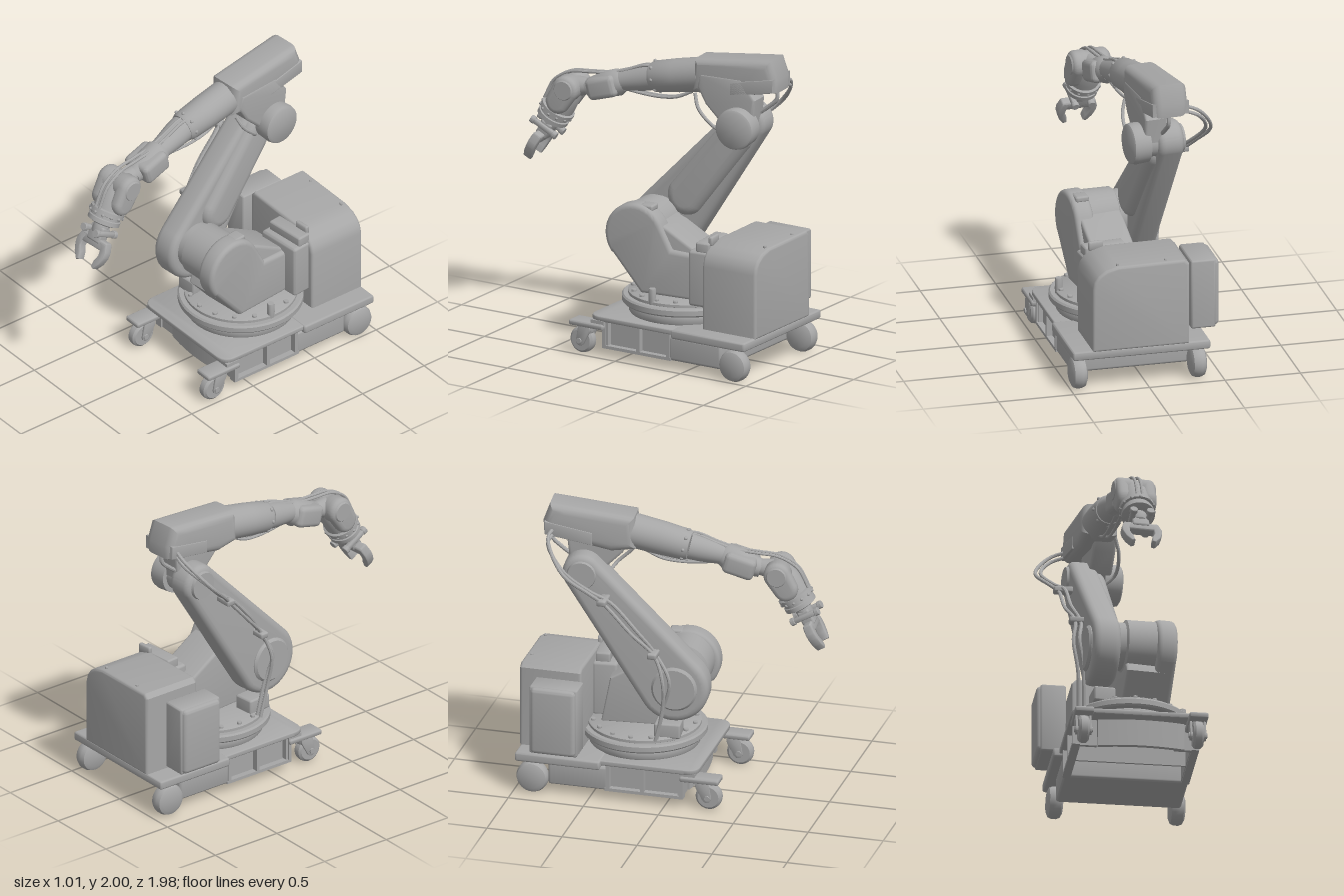
import * as THREE from 'three';
import { toCreasedNormals } from 'three/addons/utils/BufferGeometryUtils.js';
import { RoundedBoxGeometry } from 'three/addons/geometries/RoundedBoxGeometry.js';

const grey = new THREE.MeshStandardMaterial({ color: 0xa6a6a6 });
grey.name = 'machine grey';

const v3 = (x, y, z) => new THREE.Vector3(x, y, z);

function add(parent, name, geo) {
  const mesh = new THREE.Mesh(toCreasedNormals(geo, 0.6), grey);
  mesh.name = name;
  parent.add(mesh);
  return mesh;
}

// Box given by its limits on each axis; r rounds the edges
function box(parent, name, [x0, x1], [y0, y1], [z0, z1], r = 0) {
  const size = [x1 - x0, y1 - y0, z1 - z0];
  const geo = r ? new RoundedBoxGeometry(...size, 3, r) : new THREE.BoxGeometry(...size);
  geo.translate((x0 + x1) / 2, (y0 + y1) / 2, (z0 + z1) / 2);
  return add(parent, name, geo);
}

function extrude(shape, depth, bevel) {
  return new THREE.ExtrudeGeometry(shape, {
    depth: depth - 2 * bevel, bevelEnabled: bevel > 0, bevelThickness: bevel,
    bevelSize: bevel, bevelOffset: -bevel, bevelSegments: 4, curveSegments: 20,
  }).translate(0, 0, bevel);
}

const polygon = pts => new THREE.Shape(pts.map(p => new THREE.Vector2(...p)));

// Side profile in (z, y), extruded across x0..x1
function slab(parent, name, shape, x0, x1, bevel = 0.015) {
  return add(parent, name, extrude(shape, x1 - x0, bevel).rotateY(-Math.PI / 2).translate(x1, 0, 0));
}

// Plan outline in (x, -z), extruded up from y0 to y1
function plate(parent, name, shape, y0, y1, bevel = 0) {
  return add(parent, name, extrude(shape, y1 - y0, bevel).rotateX(-Math.PI / 2).translate(0, y0, 0));
}

// Outline wrapped round two circles, in (z, y)
function capsule(z1, y1, r1, z2, y2, r2) {
  const a = Math.atan2(y2 - y1, z2 - z1);
  const k = Math.acos((r1 - r2) / Math.hypot(z2 - z1, y2 - y1));
  const s = new THREE.Shape();
  s.absarc(z1, y1, r1, a + k, a - k + Math.PI * 2, false);
  s.absarc(z2, y2, r2, a - k, a + k, false);
  return s;
}

// Turned part between two points; profile is [fraction of length, radius]
function turned(parent, name, from, to, profile, seg = 32) {
  const a = v3(...from), dir = v3(...to).sub(a), len = dir.length();
  const pts = profile.map(([t, r]) => new THREE.Vector2(r, t * len));
  pts.unshift(new THREE.Vector2(0, pts[0].y));
  pts.push(new THREE.Vector2(0, pts[pts.length - 1].y));
  const mesh = add(parent, name, new THREE.LatheGeometry(pts, seg));
  mesh.quaternion.setFromUnitVectors(v3(0, 1, 0), dir.normalize());
  mesh.position.copy(a);
  return mesh;
}

const rim = (r, b = 0.12) => [[0, r * 0.9], [b, r], [1 - b, r], [1, r * 0.9]];

function cable(parent, name, pts, r = 0.012) {
  const curve = new THREE.CatmullRomCurve3(pts.map(p => v3(...p)));
  return add(parent, name, new THREE.TubeGeometry(curve, 48, r, 8));
}

function buildCart(root) {
  const cart = new THREE.Group();
  cart.name = 'cart';
  root.add(cart);

  // Front deck with rounded corners, and a gently bowed front wall
  const deck = new THREE.Shape();
  deck.moveTo(-0.37, 0.5);
  deck.lineTo(-0.37, -0.13);
  deck.quadraticCurveTo(-0.37, -0.22, -0.28, -0.22);
  deck.lineTo(0.39, -0.22);
  deck.quadraticCurveTo(0.48, -0.22, 0.48, -0.13);
  deck.lineTo(0.48, 0.5);
  plate(cart, 'frontDeck', deck, 0.24, 0.275, 0.008);
  const wall = new THREE.Shape();
  wall.moveTo(-0.19, -0.09);
  wall.lineTo(-0.19, -0.12);
  wall.quadraticCurveTo(0.09, -0.18, 0.37, -0.12);
  wall.lineTo(0.37, -0.09);
  wall.quadraticCurveTo(0.09, -0.15, -0.19, -0.09);
  plate(cart, 'frontWall', wall, 0.06, 0.245);
  box(cart, 'rearDeck', [-0.41, 0.5], [0.22, 0.28], [-0.985, -0.42], 0.015);
  box(cart, 'middleTank', [-0.35, 0.46], [0.06, 0.225], [-0.78, -0.38], 0.02);
  box(cart, 'bayDivider', [-0.33, 0.42], [0.07, 0.245], [-0.16, -0.145]);

  // Open side bays framed by rails and posts
  for (const s of [-1, 1]) {
    const at = (a, b) => [0.055 + s * a, 0.055 + s * b].sort((p, q) => p - q);
    box(cart, 'bayWall', at(0.355, 0.37), [0.07, 0.245], [-0.4, 0.08]);
    box(cart, 'lowerRail', at(0.36, 0.41), [0.06, 0.08], [-0.4, 0.12]);
    box(cart, 'cornerPanel', at(0.25, 0.4), [0.06, 0.245], [0.085, 0.11]);
    for (const z of [-0.38, -0.15, 0.11]) box(cart, 'post', at(0.36, 0.41), [0.06, 0.245], [z - 0.012, z + 0.012]);

    // Front caster with fork
    const x = 0.065 + s * 0.37;
    box(cart, 'casterPlate', [x - 0.062, x + 0.062], [0.185, 0.222], [0.1, 0.36], 0.012);
    box(cart, 'casterMount', [x - 0.05, x + 0.05], [0.215, 0.245], [0.1, 0.2]);
    turned(cart, 'casterSwivel', [x, 0.14, 0.25], [x, 0.2, 0.25], rim(0.045));
    for (const f of [-1, 1]) {
      slab(cart, 'casterFork', capsule(0.28, 0.085, 0.03, 0.25, 0.17, 0.045), x + f * 0.045 - 0.007, x + f * 0.045 + 0.007, 0.002);
    }
    turned(cart, 'casterWheel', [x - 0.034, 0.088, 0.285], [x + 0.034, 0.088, 0.285], [[0, 0.07], [0.2, 0.085], [0.5, 0.088], [0.8, 0.085], [1, 0.07]]);
    turned(cart, 'casterAxle', [x - 0.06, 0.088, 0.285], [x + 0.06, 0.088, 0.285], rim(0.02), 12);

    const rx = 0.05 + s * 0.395;
    turned(cart, 'rearWheel', [rx - 0.05, 0.105, -0.88], [rx + 0.05, 0.105, -0.88], [[0, 0.07], [0.12, 0.095], [0.35, 0.105], [0.65, 0.105], [0.88, 0.095], [1, 0.07]]);
  }

  // Control cabinet with a softened outer shoulder
  const cabinet = polygon([[-0.27, 0.27], [0.37, 0.27], [0.37, 0.7], [0.358, 0.75], [0.33, 0.79], [0.28, 0.825], [0.2, 0.845], [-0.24, 0.85], [-0.27, 0.82]]);
  add(cart, 'cabinet', extrude(cabinet, 0.41, 0.02).translate(0, 0, -0.99));
  for (const x of [-0.12, 0.2]) turned(cart, 'cabinetBolt', [x, 0.84, -0.95], [x, 0.858, -0.95], rim(0.01), 10);

  // Side unit with a bulging cover, held off the cabinet by a bracket
  box(cart, 'sideUnit', [-0.475, -0.31], [0.32, 0.788], [-0.87, -0.55], 0.015);
  box(cart, 'sideUnitCover', [-0.5, -0.42], [0.325, 0.783], [-0.86, -0.56], 0.03);
  box(cart, 'sideUnitBracket', [-0.33, -0.26], [0.34, 0.5], [-0.82, -0.6]);

  // Turntable
  const c = [0.055, -0.245];
  const ring = (name, y0, y1, r) => turned(cart, name, [c[0], y0, c[1]], [c[0], y1, c[1]], [[0, r - 0.01], [0.2, r], [0.8, r], [1, r - 0.01]], 64);
  ring('turntableBase', 0.27, 0.345, 0.36);
  ring('turntableFlange', 0.34, 0.395, 0.405);
  ring('turntablePlate', 0.39, 0.42, 0.365);
  for (let i = 0; i < 16; i++) {
    const a = (i / 16) * Math.PI * 2;
    const x = c[0] + 0.335 * Math.cos(a), z = c[1] + 0.335 * Math.sin(a);
    turned(cart, 'turntableBolt', [x, 0.415, z], [x, 0.435, z], rim(0.016), 12);
  }
  turned(cart, 'stopPost', [0.4, 0.39, -0.22], [0.4, 0.5, -0.22], rim(0.024), 16);
}

function buildTurret(arm) {
  turned(arm, 'shoulderDrum', [0.02, 0.81, 0.03], [0.29, 0.81, 0.03], [[0, 0.155], [0.2, 0.155], [0.24, 0.175], [0.95, 0.18], [1, 0.18]], 48);
  const cheek = new THREE.Shape();
  cheek.moveTo(-0.02, 0.41);
  cheek.lineTo(0.19, 0.66);
  cheek.absarc(0.03, 0.79, 0.212, -0.68, 2.75, false);
  cheek.lineTo(-0.24, 0.73);
  cheek.lineTo(-0.44, 0.72);
  cheek.lineTo(-0.44, 0.41);
  slab(arm, 'shoulderCheek', cheek, 0.27, 0.4, 0.03);
  slab(arm, 'turretBody', polygon([[-0.02, 0.41], [0.14, 0.6], [0.1, 0.7], [-0.1, 0.9], [-0.2, 0.86], [-0.44, 0.72], [-0.5, 0.41]]), 0.08, 0.37, 0.02);
  box(arm, 'rearHousing', [0.18, 0.49], [0.41, 0.78], [-0.575, -0.41], 0.02);
  box(arm, 'connectorBox', [0.2, 0.48], [0.77, 0.84], [-0.555, -0.46], 0.012);
  box(arm, 'connectorHandle', [0.36, 0.46], [0.82, 0.88], [-0.57, -0.54], 0.01);
  box(arm, 'cableJunction', [-0.11, 0.03], [0.41, 0.51], [-0.12, 0.05], 0.012);
  box(arm, 'liftingLug', [0.28, 0.37], [0.96, 1.0], [-0.09, 0.0], 0.012);
}

function buildUpperArm(arm) {
  slab(arm, 'upperArm', capsule(0.01, 0.775, 0.23, -0.585, 1.53, 0.13), -0.15, 0.03, 0.045);
  slab(arm, 'upperArmCasing', capsule(-0.16, 0.99, 0.13, -0.52, 1.447, 0.12), -0.13, 0.08, 0.06);
  turned(arm, 'shoulderCap', [-0.17, 0.78, 0.02], [-0.12, 0.78, 0.02], rim(0.15, 0.3));
  turned(arm, 'elbowHub', [-0.165, 1.53, -0.585], [0.1, 1.53, -0.585], rim(0.1, 0.1));
  turned(arm, 'elbowMotor', [0.08, 1.53, -0.585], [0.2, 1.53, -0.585], [[0, 0.13], [0.7, 0.136], [0.92, 0.13], [1, 0.115]], 48);
  box(arm, 'armBracket', [-0.06, 0.02], [0.96, 1.0], [-0.12, -0.04], 0.012);
}

function buildForearm(arm) {
  slab(arm, 'elbowFairing', polygon([[-0.28, 1.76], [-0.34, 1.65], [-0.45, 1.54], [-0.56, 1.46], [-0.68, 1.54], [-0.7, 1.72], [-0.6, 1.85], [-0.3, 1.85]]), -0.03, 0.12, 0.02);
  slab(arm, 'forearmHousing', polygon([[-0.8, 1.995], [-0.7, 1.985], [-0.25, 1.935], [-0.235, 1.715], [-0.4, 1.69], [-0.62, 1.735], [-0.84, 1.78], [-0.845, 1.87]]), -0.125, 0.115, 0.055);
  slab(arm, 'housingSidePanel', polygon([[-0.52, 1.82], [-0.83, 1.88], [-0.83, 1.79], [-0.52, 1.735]]), -0.128, 0.12, 0.004);
  turned(arm, 'forearmTube', [-0.005, 1.81, -0.27], [-0.02, 1.738, 0.1], [[0, 0.113], [0.5, 0.11], [0.94, 0.102], [1, 0.092]], 40);
  turned(arm, 'forearmNeck', [-0.02, 1.738, 0.1], [0, 1.68, 0.34], [[0, 0.088], [0.3, 0.085], [1, 0.065]]);
  for (let i = 0; i < 8; i++) {
    const a = (i / 8) * Math.PI * 2;
    const p = [Math.cos(a) * 0.1 - 0.02, 1.745 + Math.sin(a) * 0.1, 0.07 + Math.sin(a) * 0.02];
    add(arm, 'tubeBolt', new THREE.SphereGeometry(0.012, 10, 8).translate(...p));
  }

  // Wrist roll sleeve
  turned(arm, 'wristSleeve', [0, 1.685, 0.3], [0, 1.605, 0.56], [[0, 0.065], [0.15, 0.088], [0.55, 0.086], [0.8, 0.07], [1, 0.06]]);
  const block = box(arm, 'wristBlock', [-0.108, 0.108], [-0.072, 0.072], [-0.105, 0.105], 0.035);
  block.position.set(0, 1.64, 0.43);
  block.rotation.x = 0.28;
  turned(arm, 'wristNeck', [0, 1.62, 0.52], [0, 1.6, 0.68], [[0, 0.05], [0.3, 0.055], [1, 0.075]]);

  // Wrist pitch joint and tool flange
  turned(arm, 'wristPitchDrum', [-0.135, 1.6, 0.68], [0.135, 1.6, 0.68], [[0, 0.06], [0.1, 0.085], [0.35, 0.09], [0.42, 0.08], [0.58, 0.08], [0.65, 0.09], [0.9, 0.085], [1, 0.06]]);
  for (const s of [-1, 1]) {
    slab(arm, 'wristCheek', capsule(0.68, 1.6, 0.088, 0.735, 1.51, 0.08), s * 0.085 - 0.045, s * 0.085 + 0.045, 0.035);
  }
  turned(arm, 'wristBody', [0, 1.62, 0.67], [0, 1.42, 0.79], [[0, 0.07], [0.3, 0.095], [0.7, 0.1], [1, 0.1]]);
  turned(arm, 'toolCollar', [0, 1.455, 0.77], [0, 1.36, 0.825], [[0, 0.09], [0.1, 0.115], [0.38, 0.115], [0.42, 0.1], [0.6, 0.1], [0.64, 0.108], [0.9, 0.108], [1, 0.08]], 40);
}

function buildGripper(arm) {
  // Local -y points along the tool
  const grip = new THREE.Group();
  grip.name = 'gripper';
  grip.position.set(0, 1.37, 0.82);
  grip.rotation.x = -0.5;
  arm.add(grip);
  for (let i = 0; i < 12; i++) {
    const a = (i / 12) * Math.PI * 2;
    add(grip, 'collarBolt', new THREE.SphereGeometry(0.011, 8, 6).translate(Math.cos(a) * 0.112, 0.06, Math.sin(a) * 0.112));
  }
  turned(grip, 'gripperStem', [0, 0.01, 0], [0, -0.08, 0], rim(0.055), 20);
  box(grip, 'gripperBody', [-0.055, 0.055], [-0.14, -0.03], [-0.04, 0.04], 0.012);
  box(grip, 'gripperSlide', [-0.115, 0.115], [-0.175, -0.11], [-0.03, 0.03], 0.012);
  for (const s of [-1, 1]) {
    // Air fittings across the tool, front and back
    box(grip, 'sideFitting', [s * 0.055 - 0.018, s * 0.055 + 0.018], [-0.085, -0.05], [-0.085, 0.085], 0.01);
    for (const z of [-0.1, 0.075]) {
      turned(grip, 'fittingKnob', [s * 0.055, -0.068, z], [s * 0.055, -0.068, z + 0.03], rim(0.026), 16);
    }
    const finger = polygon([[0.06, -0.12], [0.115, -0.12], [0.132, -0.17], [0.13, -0.21], [0.112, -0.26], [0.078, -0.305], [0.055, -0.295], [0.062, -0.25], [0.08, -0.21], [0.078, -0.17]].map(([x, y]) => [x * s, y]));
    add(grip, 'finger', extrude(finger, 0.062, 0.01).translate(0, 0, -0.031));
  }
}

function buildCables(root, arm) {
  for (const d of [0, 0.035]) {
    cable(root, 'mainCable', [[-0.27, 1.83 - d, -0.76], [-0.38, 1.79 - d, -0.77], [-0.5 + d, 1.61, -0.64], [-0.43 + d, 1.46, -0.48], [-0.38 + d, 1.38, -0.4 + d],
      [-0.36 + d, 1.18, -0.22 + d], [-0.31 + d, 1.02, -0.08], [-0.33 + d, 0.85, -0.02 + d], [-0.3 + d, 0.65, -0.03], [-0.29 + d, 0.42, -0.08]]);
    const x = d - 0.018;
    cable(arm, 'wristCable', [[x, 1.81, 0.04], [x, 1.815, 0.14], [x, 1.765, 0.28], [x, 1.73, 0.4], [x, 1.715, 0.55], [x, 1.7, 0.68], [x, 1.63, 0.8], [x, 1.5, 0.87]], 0.01);
    cable(arm, 'underCable', [[x, 1.69, -0.2], [x, 1.635, -0.08], [x, 1.62, 0.05], [x, 1.625, 0.16], [x, 1.64, 0.3]], 0.01);
  }
  cable(arm, 'elbowCable', [[0.1, 1.71, -0.26], [0.13, 1.62, -0.3], [0.13, 1.52, -0.4], [0.05, 1.45, -0.46]]);
  cable(arm, 'rearLoop', [[0, 1.79, -0.8], [0, 1.72, -0.8], [0, 1.66, -0.74], [0, 1.6, -0.66]], 0.014);
  for (const [x, y, z] of [[-0.35, 1.39, -0.41], [-0.29, 1.03, -0.09]]) {
    box(root, 'cableClamp', [x - 0.06, x + 0.1], [y - 0.02, y + 0.02], [z - 0.03, z + 0.03], 0.01);
  }
}

export function createModel() {
  const root = new THREE.Group();
  root.name = 'mobileRobotArm';
  buildCart(root);

  // Everything above the turntable is swung slightly to one side
  const arm = new THREE.Group();
  arm.name = 'robotArm';
  arm.position.x = -0.1;
  arm.rotation.y = 0.1;
  root.add(arm);
  [buildTurret, buildUpperArm, buildForearm, buildGripper].forEach(build => build(arm));
  buildCables(root, arm);
  return root;
}
